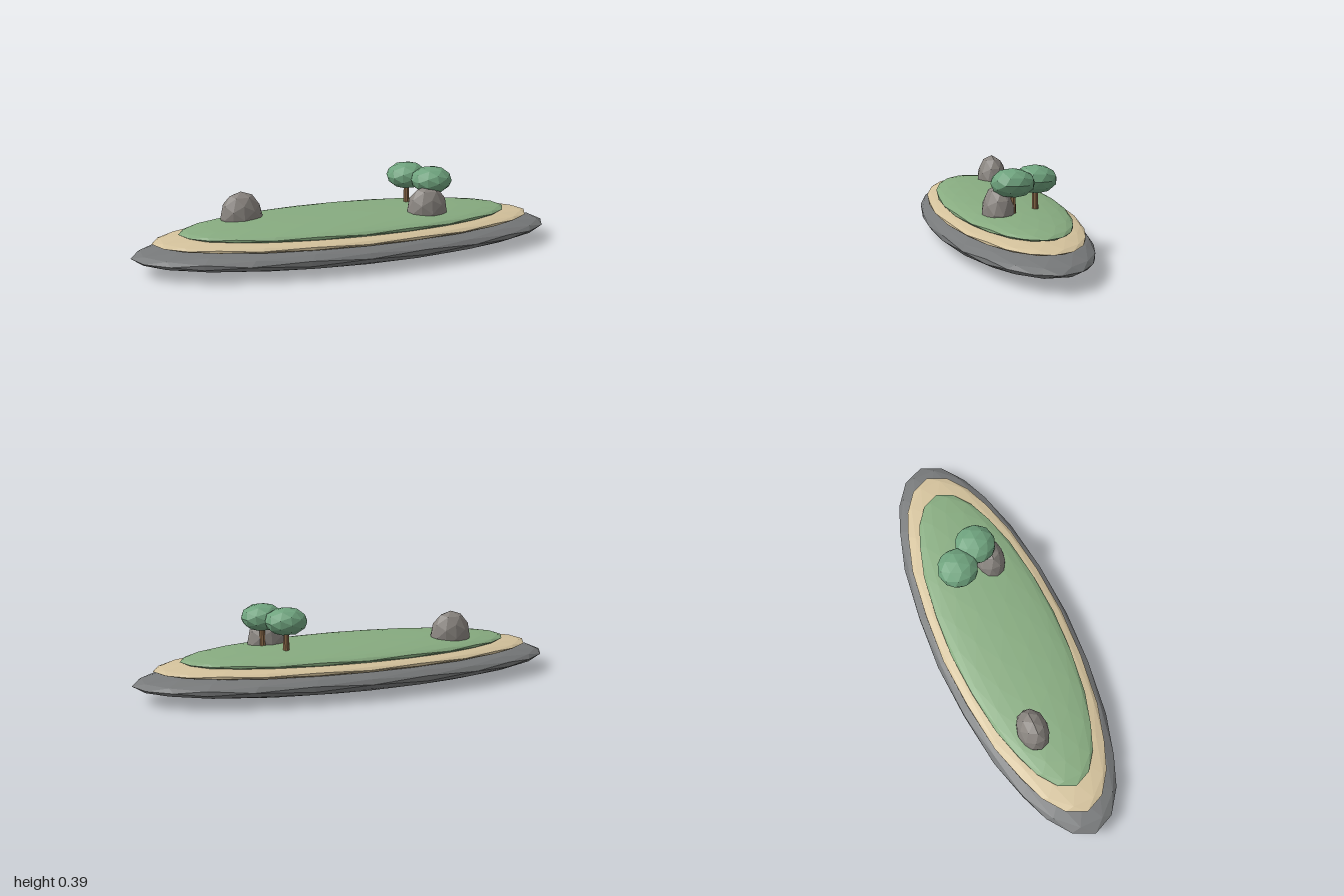
import * as THREE from 'three';

const mat = (color) => new THREE.MeshStandardMaterial({ color, flatShading: true });

// Faceted ellipsoid with the given centre and half-sizes
function blob(name, material, detail, center, radii) {
  const geometry = new THREE.IcosahedronGeometry(1, detail);
  geometry.scale(...radii);
  geometry.computeVertexNormals();
  const mesh = new THREE.Mesh(geometry, material);
  mesh.name = name;
  mesh.position.set(...center);
  return mesh;
}

export function createModel() {
  const island = new THREE.Group();
  island.name = 'island';

  const stone = mat(0x77797a);
  const sand = mat(0xd4c29c);
  const grass = mat(0x87ab80);
  const rock = mat(0x8a8580);
  const bark = mat(0x8b6a4a);
  const leaves = mat(0x6fa37e);

  // Stacked ground layers
  island.add(
    blob('stoneBase', stone, 3, [0, 0.075, 0], [1, 0.075, 0.333]),
    blob('sandLayer', sand, 3, [0, 0.133, 0], [0.906, 0.04, 0.303]),
    blob('grassLayer', grass, 3, [0, 0.165, 0], [0.787, 0.042, 0.262])
  );

  // Boulders half sunk into the grass
  for (const [x, z] of [[-0.483, -0.074], [0.358, 0.092]]) {
    island.add(blob('boulder', rock, 1, [x, 0.2, z], [0.098, 0.118, 0.072]));
  }

  // Trees: tapered trunk and flattened crown
  for (const [x, z] of [[0.322, -0.081], [0.398, 0.039]]) {
    const tree = new THREE.Group();
    tree.name = 'tree';
    tree.position.set(x, 0, z);
    const trunk = new THREE.Mesh(new THREE.CylinderGeometry(0.012, 0.015, 0.12, 8), bark);
    trunk.name = 'trunk';
    trunk.position.y = 0.25;
    tree.add(trunk, blob('crown', leaves, 1, [0, 0.331, 0], [0.097, 0.063, 0.097]));
    island.add(tree);
  }

  return island;
}
